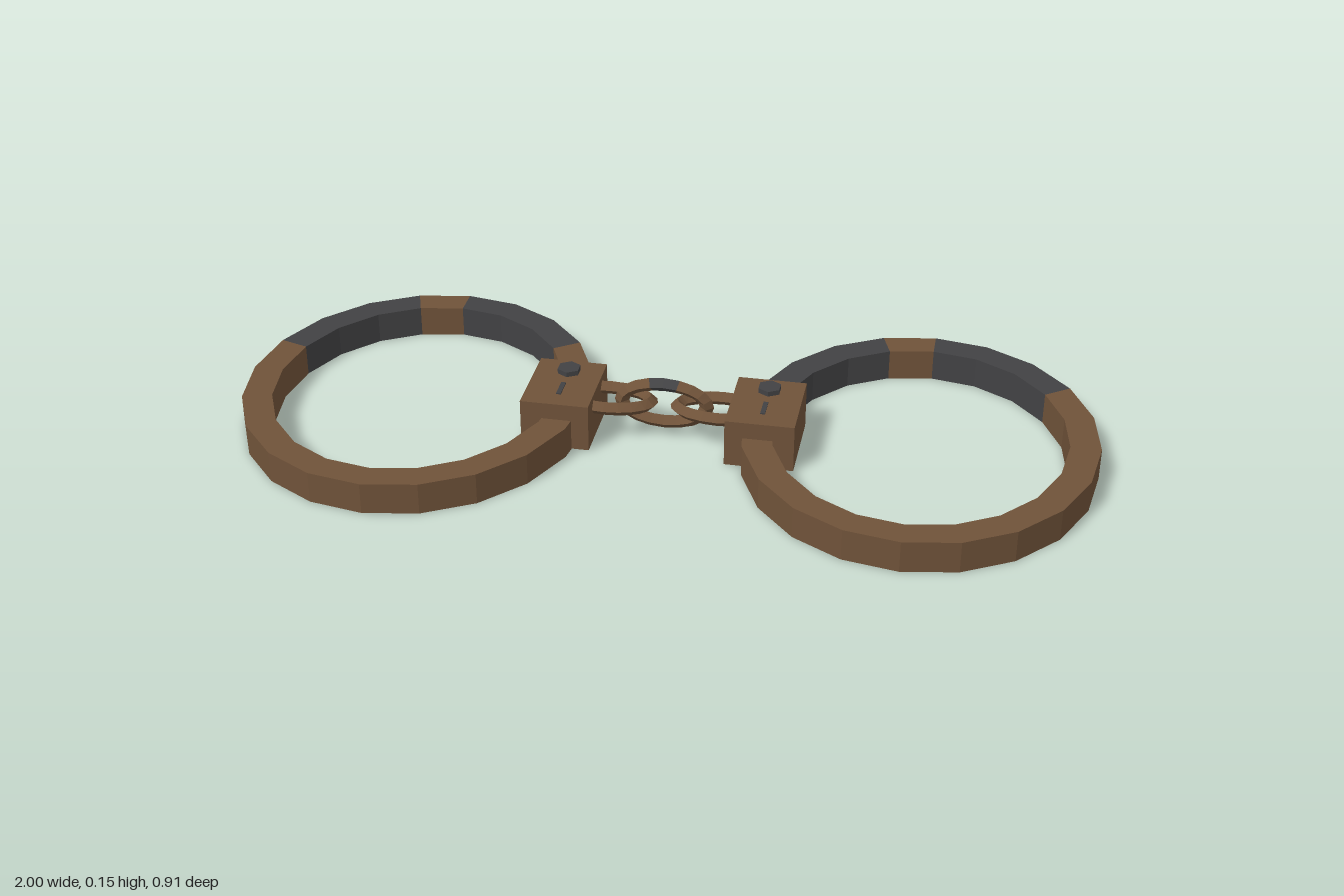
import * as THREE from 'three';

const bronze = new THREE.MeshStandardMaterial({ color: 0x6f5239 });
bronze.name = 'bronze';
const iron = new THREE.MeshStandardMaterial({ color: 0x424244 });
iron.name = 'darkIron';

const STEP = Math.PI / 10; // rings and links have 20 sides

function add(parent, name, geometry, material, x = 0, y = 0, z = 0) {
  const mesh = new THREE.Mesh(geometry, material);
  mesh.name = name;
  mesh.position.set(x, y, z);
  parent.add(mesh);
  return mesh;
}

function faceted(geometry) {
  const flat = geometry.toNonIndexed();
  flat.computeVertexNormals();
  return flat;
}

// Part of the oval band; steps run clockwise from the back
function bandArc(from, to) {
  const points = [];
  const point = (i, rx, rz) => points.push(new THREE.Vector2(rx * Math.sin(i * STEP), rz * Math.cos(i * STEP)));
  for (let i = from; i <= to; i++) point(i, 0.408, 0.453);
  for (let i = to; i >= from; i--) point(i, 0.338, 0.384);
  const geometry = new THREE.ExtrudeGeometry(new THREE.Shape(points), { depth: 0.075, bevelEnabled: false });
  return geometry.rotateX(-Math.PI / 2);
}

// Part of an oval link with a diamond section, standing in the xy plane
function linkArc(start, sides) {
  const geometry = new THREE.TorusGeometry(0.1, 0.017, 4, sides, sides * STEP).rotateZ(start * STEP);
  const p = geometry.attributes.position;
  for (let i = 0; i < p.count; i++) {
    const angle = Math.atan2(p.getY(i), p.getX(i));
    p.setY(i, p.getY(i) - 0.051 * Math.sin(angle));
  }
  return faceted(geometry);
}

function cuff(side) {
  const group = new THREE.Group();
  group.name = side > 0 ? 'leftCuff' : 'rightCuff';
  const cx = side * 0.592;
  const bx = side * 0.238;

  // Band with two dark sections, laid out the same way on both cuffs
  add(group, 'bandFront', bandArc(3, 16), bronze, cx);
  add(group, 'bandHinge', bandArc(-1, 0), bronze, cx);
  add(group, 'bandDarkRight', bandArc(-4, -1), iron, cx);
  add(group, 'bandDarkLeft', bandArc(0, 3), iron, cx);

  // Lock with bolt and keyhole
  add(group, 'lockBox', new THREE.BoxGeometry(0.16, 0.114, 0.206), bronze, bx, 0.058);
  add(group, 'bolt', faceted(new THREE.CylinderGeometry(0.028, 0.028, 0.014, 6)), iron, bx, 0.12, -0.053);
  add(group, 'keyhole', new THREE.BoxGeometry(0.011, 0.004, 0.052), iron, bx, 0.116, 0.03);
  return group;
}

export function createModel() {
  const model = new THREE.Group();
  model.name = 'shackles';

  for (const side of [-1, 1]) {
    model.add(cuff(side));
    // Flat link that runs into the lock
    const link = add(model, 'sideLink', linkArc(0, 20), bronze, side * 0.132, 0.085, 0);
    link.rotation.x = -Math.PI / 2;
  }

  // Upright middle link with a dark top
  add(model, 'middleLink', linkArc(6, 18), bronze, 0, 0.086, 0);
  add(model, 'middleLinkTop', linkArc(4, 2), iron, 0, 0.086, 0);
  return model;
}
